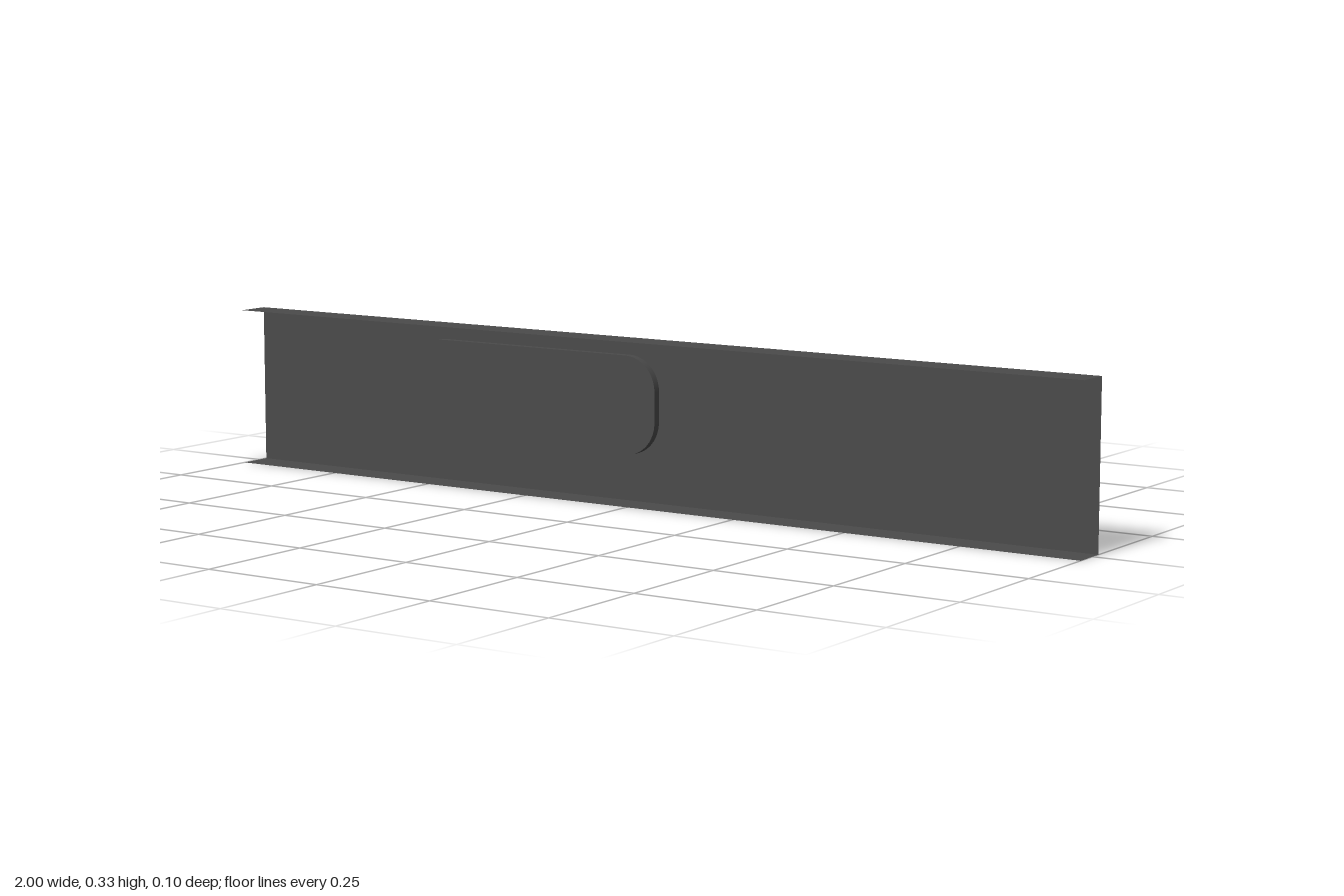
import * as THREE from 'three';

const LENGTH = 2, HEIGHT = 0.33, WEB_Z = -0.023, FRONT_Z = 0.048;
const HANDLE = { x: -0.27, y: 0.195, w: 0.6, h: 0.2, r: 0.07, front: -0.007, back: -0.048, floor: -0.0245 };

// Outline points of a rounded rectangle, anticlockwise seen from +z
function roundedOutline(w, h, r, steps = 10) {
  const points = [];
  const centres = [[1, 1], [-1, 1], [-1, -1], [1, -1]];
  centres.forEach(([sx, sy], corner) => {
    for (let i = 0; i <= steps; i++) {
      const a = (corner + i / steps) * Math.PI / 2;
      points.push(new THREE.Vector2(sx * (w / 2 - r) + r * Math.cos(a), sy * (h / 2 - r) + r * Math.sin(a)));
    }
  });
  return points;
}

// Smooth band joining two matching outlines
function band(a, za, b, zb) {
  const positions = [], indices = [], n = a.length;
  a.forEach((p, i) => positions.push(p.x, p.y, za, b[i].x, b[i].y, zb));
  for (let i = 0; i < n; i++) {
    const j = (i + 1) % n;
    indices.push(2 * i, 2 * j, 2 * i + 1, 2 * j, 2 * j + 1, 2 * i + 1);
  }
  const geometry = new THREE.BufferGeometry();
  geometry.setAttribute('position', new THREE.Float32BufferAttribute(positions, 3));
  geometry.setIndex(indices);
  geometry.computeVertexNormals();
  return geometry;
}

// Flat face on an outline, turned to the back when asked
function face(outline, z, toBack, hole) {
  const shape = new THREE.Shape(outline);
  if (hole) shape.holes.push(new THREE.Path(hole));
  const geometry = new THREE.ShapeGeometry(shape);
  if (toBack) geometry.rotateY(Math.PI); // outlines are symmetric about x = 0
  return geometry.translate(0, 0, z);
}

export function createModel() {
  const model = new THREE.Group();
  model.name = 'slidingDoorPanel';
  const darkGrey = new THREE.MeshStandardMaterial({ color: 0x4a4a4a, side: THREE.DoubleSide });
  darkGrey.name = 'darkGrey';
  const add = (parent, name, geometry) => {
    const mesh = new THREE.Mesh(geometry, darkGrey);
    mesh.name = name;
    parent.add(mesh);
    return mesh;
  };

  // Sheet channel: web and two flanges
  add(model, 'web', new THREE.PlaneGeometry(LENGTH, HEIGHT)).position.set(0, HEIGHT / 2, WEB_Z);
  const depth = FRONT_Z - WEB_Z;
  for (const [name, y, turn] of [['topFlange', HEIGHT, -1], ['bottomFlange', 0, 1]]) {
    const flange = add(model, name, new THREE.PlaneGeometry(LENGTH, depth).rotateX(turn * Math.PI / 2));
    flange.position.set(0, y, (FRONT_Z + WEB_Z) / 2);
  }

  // Recessed pull set through the web, open to the back
  const { x, y, w, h, r, front, back, floor } = HANDLE;
  const pull = new THREE.Group();
  pull.name = 'recessedPull';
  pull.position.set(x, y, 0);
  model.add(pull);
  const outer = roundedOutline(w, h, r);
  const opening = roundedOutline(w - 0.06, h - 0.06, r - 0.02);
  const bottom = roundedOutline(w - 0.11, h - 0.11, r - 0.035);
  add(pull, 'frontPlate', face(outer, front, false));
  add(pull, 'outerWall', band(outer, back, outer, front));
  add(pull, 'rim', face(outer, back, true, opening));
  add(pull, 'recessWall', band(bottom, floor, opening, back));
  add(pull, 'recessFloor', face(bottom, floor, true));
  return model;
}
